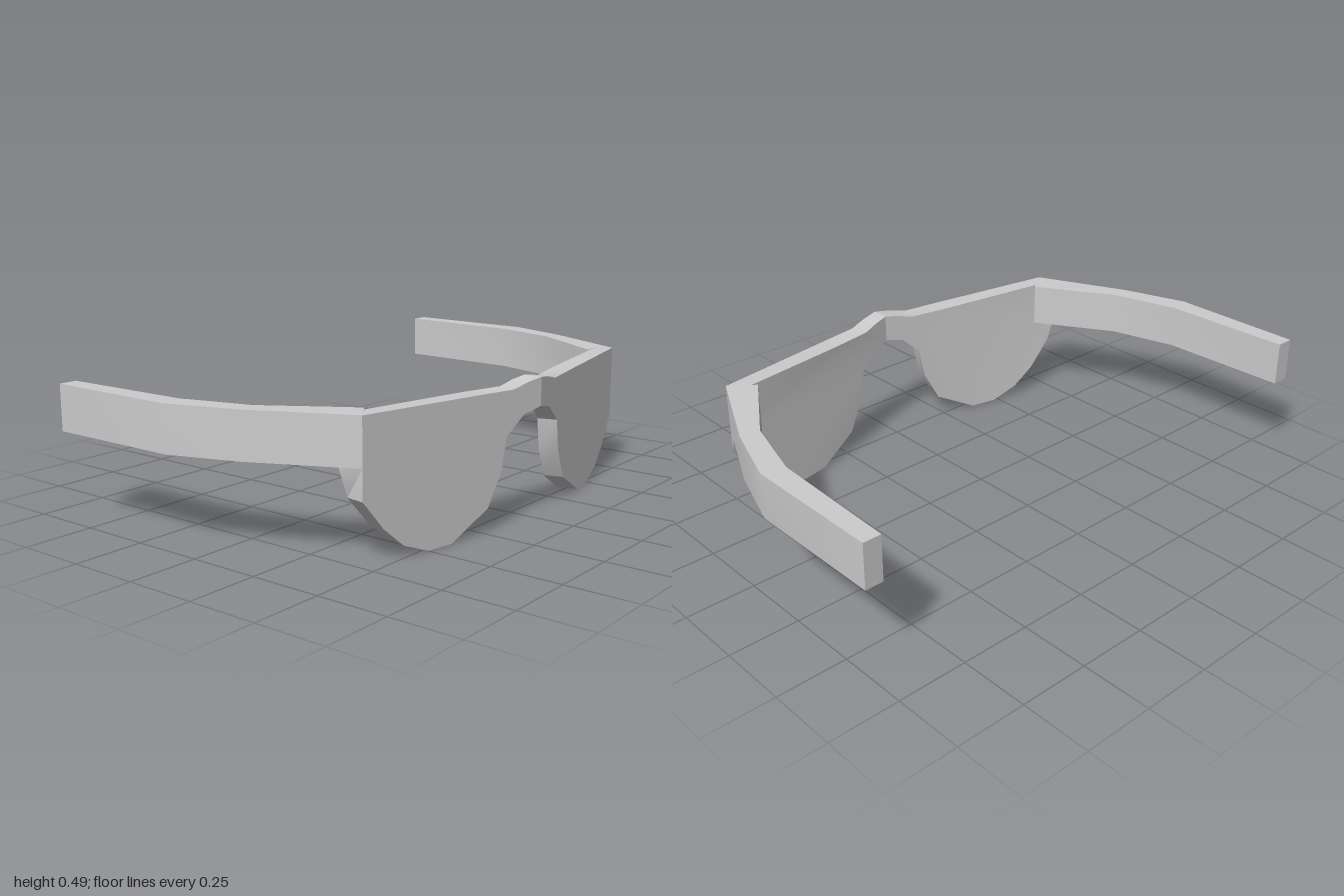
import * as THREE from 'three';
import { toCreasedNormals } from 'three/addons/utils/BufferGeometryUtils.js';

const material = new THREE.MeshStandardMaterial({ color: 0xcccccc });

// Half outline of the front: brow, outer edge, round lens, nose arch
const LENS = [
  [0, 0.488], [0.06, 0.48], [0.13, 0.463], [0.3, 0.466], [0.76, 0.472],
  [0.76, 0.312], [0.76, 0.21], [0.68, 0.11], [0.6, 0.04], [0.5, 0],
  [0.4, 0], [0.24, 0.085], [0.18, 0.2], [0.16, 0.31], [0.08, 0.373], [0, 0.39],
];

// Plan of one arm as x, z: outer side going back, inner side returning
const ARM = [
  [0.76, 0.47], [0.92, 0.13], [1, -0.11], [1, -0.615],
  [0.935, -0.615], [0.92, -0.13], [0.85, 0.12], [0.672, 0.405],
];

function extrude(points, depth) {
  const shape = new THREE.Shape(points.map(([x, y]) => new THREE.Vector2(x, y)));
  return new THREE.ExtrudeGeometry(shape, { depth, bevelEnabled: false });
}

function finish(geometry, name) {
  const mesh = new THREE.Mesh(toCreasedNormals(geometry, 0.6), material);
  mesh.name = name;
  return mesh;
}

// Flat half front, swept back from the nose; the outer edge follows the arm
function lensHalf(side, name) {
  const geometry = extrude(LENS.map(([x, y]) => [side * x, y]), 1);
  const pos = geometry.attributes.position;
  for (let i = 0; i < pos.count; i++) {
    const x = Math.abs(pos.getX(i));
    const y = pos.getY(i);
    if (pos.getZ(i) > 0.5) {
      pos.setZ(i, 0.612 - 0.187 * x);
    } else {
      let backX = x - 0.02 * Math.min(1, x / 0.15);
      if (x > 0.7) backX = y > 0.3 ? 0.79 : 0.75;
      pos.setX(i, side * backX);
      pos.setZ(i, Math.max(0.403, 0.545 - 0.209 * backX));
    }
  }
  return finish(geometry, name);
}

// Bent arm, extruded upward from its plan
function arm(side, name) {
  const geometry = extrude(ARM.map(([x, z]) => [side * x, -z]), 0.16);
  geometry.rotateX(-Math.PI / 2);
  geometry.translate(0, 0.312, 0);
  return finish(geometry, name);
}

export function createModel() {
  const glasses = new THREE.Group();
  glasses.name = 'glasses';
  for (const [side, label] of [[1, 'left'], [-1, 'right']]) {
    glasses.add(lensHalf(side, label + 'Lens'), arm(side, label + 'Arm'));
  }
  return glasses;
}
